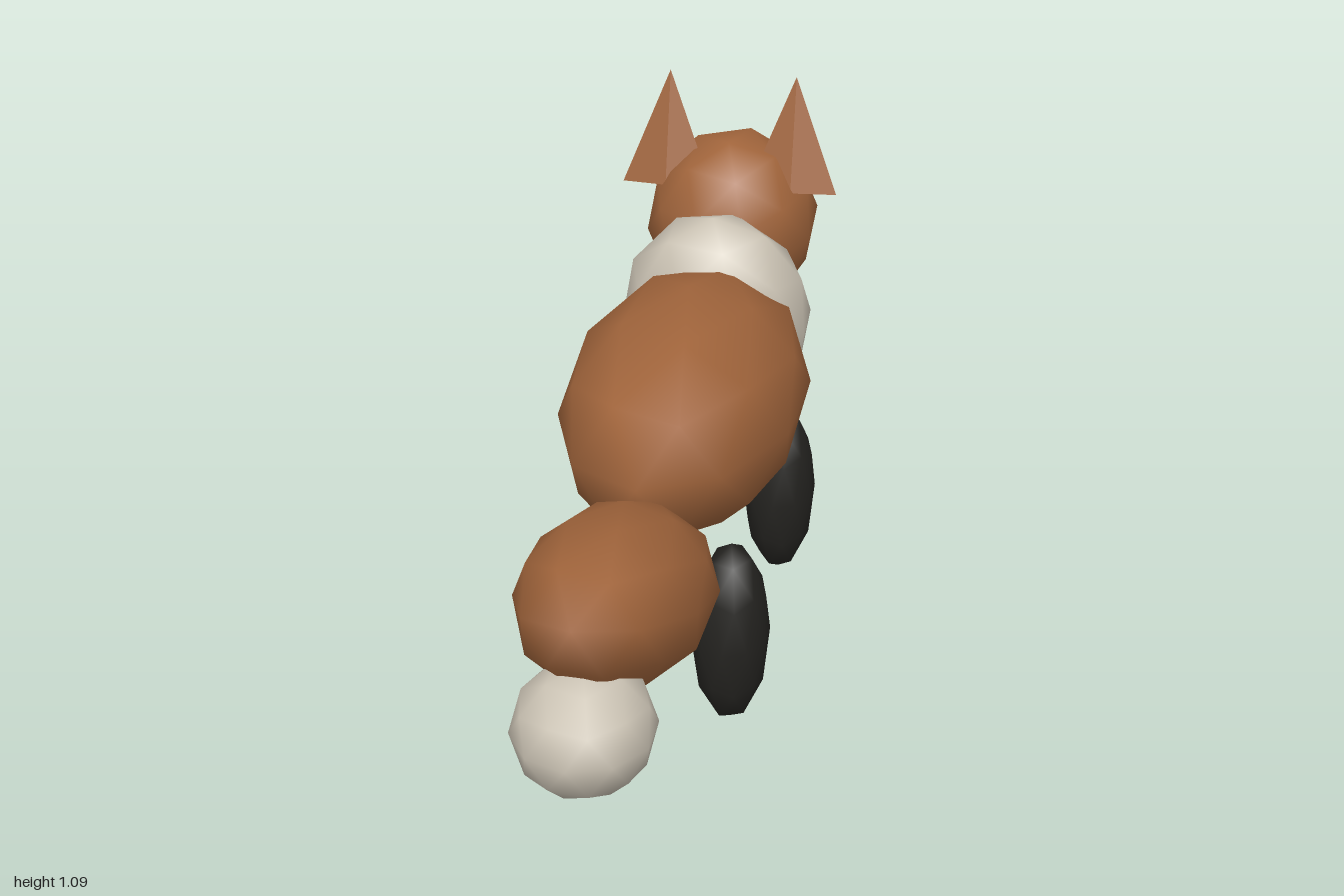
import * as THREE from 'three';

const material = (color, flatShading = false) =>
  new THREE.MeshStandardMaterial({ color, flatShading });
const russet = material(0xa0643b);
const cream = material(0xcbc3b4);
const black = material(0x242320);
const russetFlat = material(0xa0643b, true);
const blackFlat = material(0x242320, true);

// Low-poly ball with a five-sided pole on the y axis, shared by all rounded parts
function makeBall() {
  const geometry = new THREE.IcosahedronGeometry(1, 1);
  geometry.rotateZ(-Math.atan(2 / (1 + Math.sqrt(5))));
  return geometry;
}

export function createModel() {
  const model = new THREE.Group();
  model.name = 'fox';
  const ball = makeBall();

  function addPart(name, geometry, mat, position, scale, tilt = 0) {
    const mesh = new THREE.Mesh(geometry, mat);
    mesh.name = name;
    mesh.position.set(...position);
    mesh.scale.set(...scale);
    mesh.rotation.x = tilt;
    model.add(mesh);
    return mesh;
  }

  // Trunk and neck ruff; the animal looks towards -z
  addPart('body', ball, russet, [0, 0.56, -0.07], [0.247, 0.24, 0.5], -0.08);
  addPart('neckRuff', ball, cream, [0, 0.6, -0.405], [0.21, 0.25, 0.16], 0.2);

  // Tail
  addPart('tail', ball, russet, [0, 0.47, 0.58], [0.178, 0.17, 0.38], -0.35);
  addPart('tailTip', ball, cream, [0, 0.362, 0.858], [0.131, 0.123, 0.142]);

  // Head
  addPart('head', ball, russet, [0, 0.755, -0.6], [0.19, 0.202, 0.202], 0.3);
  addPart('snout', ball, cream, [0, 0.692, -0.825], [0.108, 0.083, 0.16], 0.1);
  addPart('nose', ball, black, [0, 0.715, -0.974], [0.042, 0.027, 0.026]);

  // Paired parts: eyes, ears and legs
  const cone = new THREE.ConeGeometry(1, 1, 4);
  for (const [side, label] of [[1, 'left'], [-1, 'right']]) {
    addPart(label + 'Eye', ball, black, [side * 0.152, 0.812, -0.71], [0.03, 0.03, 0.03]);
    addPart(label + 'Ear', cone, russetFlat, [side * 0.138, 0.967, -0.567], [0.098, 0.25, 0.018], -0.17);
    addPart(label + 'InnerEar', cone, blackFlat, [side * 0.138, 0.938, -0.572], [0.058, 0.17, 0.018], -0.17);
    addPart(label + 'FrontLeg', ball, black, [side * 0.15, 0.202, -0.385], [0.079, 0.2, 0.1]);
    addPart(label + 'HindLeg', ball, black, [side * 0.15, 0.202, 0.24], [0.079, 0.2, 0.1]);
  }

  return model;
}
